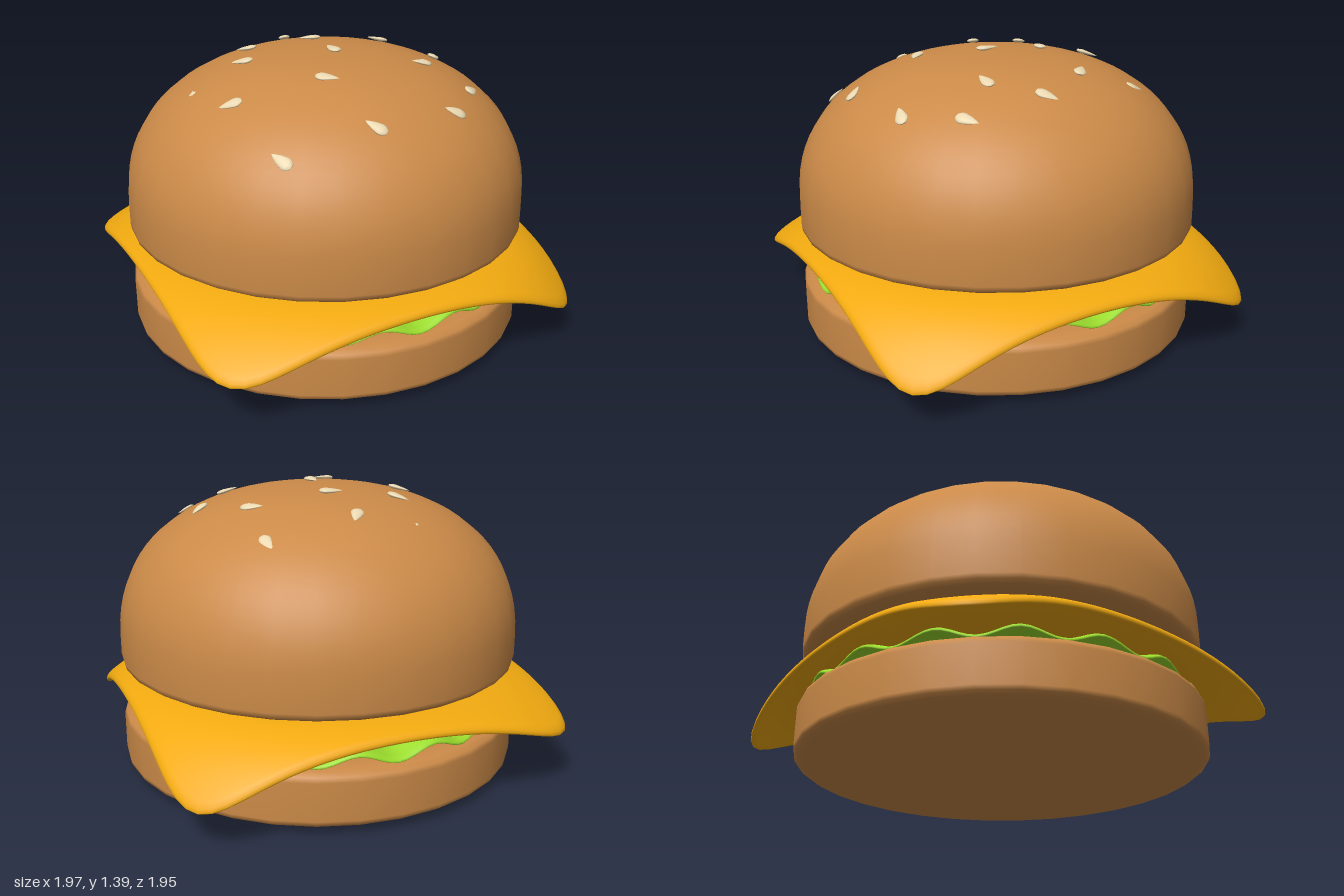
import * as THREE from 'three';

const mat = (color) => new THREE.MeshStandardMaterial({ color });
const BUN = mat(0xcb8a48), CHEESE = mat(0xf2aa10), LETTUCE = mat(0x9bdc2d), SEED = mat(0xead8b0);

function add(parent, name, geometry, material) {
  const mesh = new THREE.Mesh(geometry, material);
  mesh.name = name;
  parent.add(mesh);
  return mesh;
}

const lathe = (pts, segs) =>
  new THREE.LatheGeometry(pts.map(([r, y]) => new THREE.Vector2(r, y)), segs);

// Height of the crown above its straight wall, at radius r
const R = 0.975, WALL = 0.65, DOME = 0.71, POWER = 2.3;
const domeY = (r) => WALL + DOME * Math.pow(Math.max(0, 1 - Math.pow(r / R, POWER)), 1 / POWER);

// Closed thin sheet: rings run out along the top, round the rim and back underneath.
// place(s, angle, side) returns a point; s = 0..1 outward, side = +1 top .. -1 bottom
function sheet(rings, segs, place) {
  const profile = [];
  for (let i = 0; i <= rings; i++) profile.push([0.97 * i / rings, 1]);
  for (let i = 1; i < 6; i++) {
    const a = Math.PI * (0.5 - i / 6);
    profile.push([0.97 + 0.03 * Math.cos(a), Math.sin(a)]);
  }
  for (let i = rings; i >= 0; i--) profile.push([0.97 * i / rings, -1]);

  const pos = [], index = [];
  profile.forEach(([s, side], i) => {
    for (let j = 0; j < segs; j++) {
      pos.push(...place(s, (j / segs) * Math.PI * 2, side));
      if (i === profile.length - 1) continue;
      const a = i * segs + j, b = i * segs + (j + 1) % segs;
      index.push(a, b, a + segs, b, b + segs, a + segs);
    }
  });
  const g = new THREE.BufferGeometry();
  g.setAttribute('position', new THREE.Float32BufferAttribute(pos, 3));
  g.setIndex(index);
  g.computeVertexNormals();
  return g;
}

// Square slice with rounded corners, each hanging by its own amount
function cheesePoint(s, angle, side) {
  const c = Math.cos(angle), n = Math.sin(angle), p = 8;
  const edge = Math.pow(Math.abs(c) ** p + Math.abs(n) ** p, -1 / p);
  const x = 0.99 * s * edge * c, z = 0.98 * s * edge * n;
  const u = THREE.MathUtils.clamp(x / 1.8 + 0.5, 0, 1), v = THREE.MathUtils.clamp(z / 1.8 + 0.5, 0, 1);
  const hang = (1 - u) * ((1 - v) * 0.19 + v * 0.21) + u * ((1 - v) * 0.275 + v * 0.29);
  const drop = hang * Math.pow(Math.max(0, (Math.hypot(x, z) - 0.75) / 0.55), 2);
  const shrink = 1 - 0.12 * drop;
  return [x * shrink, 0.453 - drop + 0.021 * side, z * shrink];
}

// Leaf with radial ripples that rises a little, then droops at the rim
function lettucePoint(s, angle, side) {
  const base = 0.365 + 0.03 * Math.sin(Math.min(1, s / 0.65) * Math.PI / 2)
    - 0.075 * Math.pow(Math.max(0, (s - 0.6) / 0.4), 1.5);
  const amp = 0.024 * THREE.MathUtils.smoothstep(s, 0.1, 0.6);
  const r = 0.93 * s;
  return [r * Math.cos(angle), base - amp * Math.cos(16 * angle) + 0.011 * side, r * Math.sin(angle)];
}

// Seeds: x, z, tip direction in degrees (0 = +x, 90 = -z), lift off the crust
const SEEDS = [
  [0.02, -0.5, 60, 0.01], [0.44, -0.5, 90, -0.006], [-0.24, -0.57, 60, -0.011],
  [-0.28, -0.29, 130, 0.01], [0.03, -0.22, 165, 0.012], [0.41, -0.21, 140, 0.01],
  [-0.65, -0.07, 60, -0.011], [-0.39, -0.08, 140, 0.01], [0.01, 0.06, 90, 0.015],
  [0.57, 0.07, 35, 0.008], [-0.58, 0.24, 160, 0.008], [0.38, 0.26, 180, 0.008],
  [-0.17, 0.34, -40, 0.01], [0.54, 0.44, 30, 0.006], [-0.52, 0.63, 100, 0.008],
  [-0.11, 0.69, 120, 0.008], [0.32, 0.64, 155, 0.006],
];

function addSeeds(parent) {
  const seeds = new THREE.Group();
  seeds.name = 'sesameSeeds';
  parent.add(seeds);
  // Teardrop with its tip along +y, flattened in z
  const geo = lathe([[0, -0.05], [0.018, -0.045], [0.029, -0.028], [0.03, -0.012],
    [0.022, 0.018], [0.01, 0.045], [0, 0.06]], 10).scale(1, 1, 0.36);
  for (const [x, z, deg, lift] of SEEDS) {
    const r = Math.hypot(x, z), e = 0.01;
    const slope = (domeY(r + e) - domeY(Math.max(0, r - e))) / (2 * e);
    const normal = new THREE.Vector3(-slope * x / r, 1, -slope * z / r).normalize();
    const a = THREE.MathUtils.degToRad(deg);
    const tip = new THREE.Vector3(Math.cos(a), 0, -Math.sin(a)).projectOnPlane(normal).normalize();
    const across = new THREE.Vector3().crossVectors(tip, normal);
    const seed = add(seeds, 'sesameSeed', geo, SEED);
    seed.quaternion.setFromRotationMatrix(new THREE.Matrix4().makeBasis(across, tip, normal));
    seed.position.set(x, domeY(r), z).addScaledVector(normal, lift);
  }
}

export function createModel() {
  const model = new THREE.Group();
  model.name = 'cheeseburger';

  // Heel of the bun
  add(model, 'bottomBun', lathe([[0, 0], [0.6, 0.008], [0.88, 0.024], [0.95, 0.036], [0.97, 0.05],
    [R, 0.07], [R, 0.25], [0.967, 0.272], [0.94, 0.29], [0.87, 0.302], [0, 0.305]], 32), BUN);

  add(model, 'lettuce', sheet(16, 160, lettucePoint), LETTUCE);
  add(model, 'cheeseSlice', sheet(24, 128, cheesePoint), CHEESE);

  // Crown of the bun: shallow underside, short wall, then the dome
  const crown = [[0, 0.497], [0.6, 0.502], [0.88, 0.512], [0.95, 0.523], [0.97, 0.537], [R, 0.56]];
  for (let i = 0; i <= 20; i++) {
    const a = (i / 20) * Math.PI / 2;
    crown.push([R * Math.pow(Math.max(0, Math.cos(a)), 2 / POWER), WALL + DOME * Math.pow(Math.sin(a), 2 / POWER)]);
  }
  crown[crown.length - 1][0] = 0;
  add(model, 'topBun', lathe(crown, 32), BUN);

  addSeeds(model);
  return model;
}
